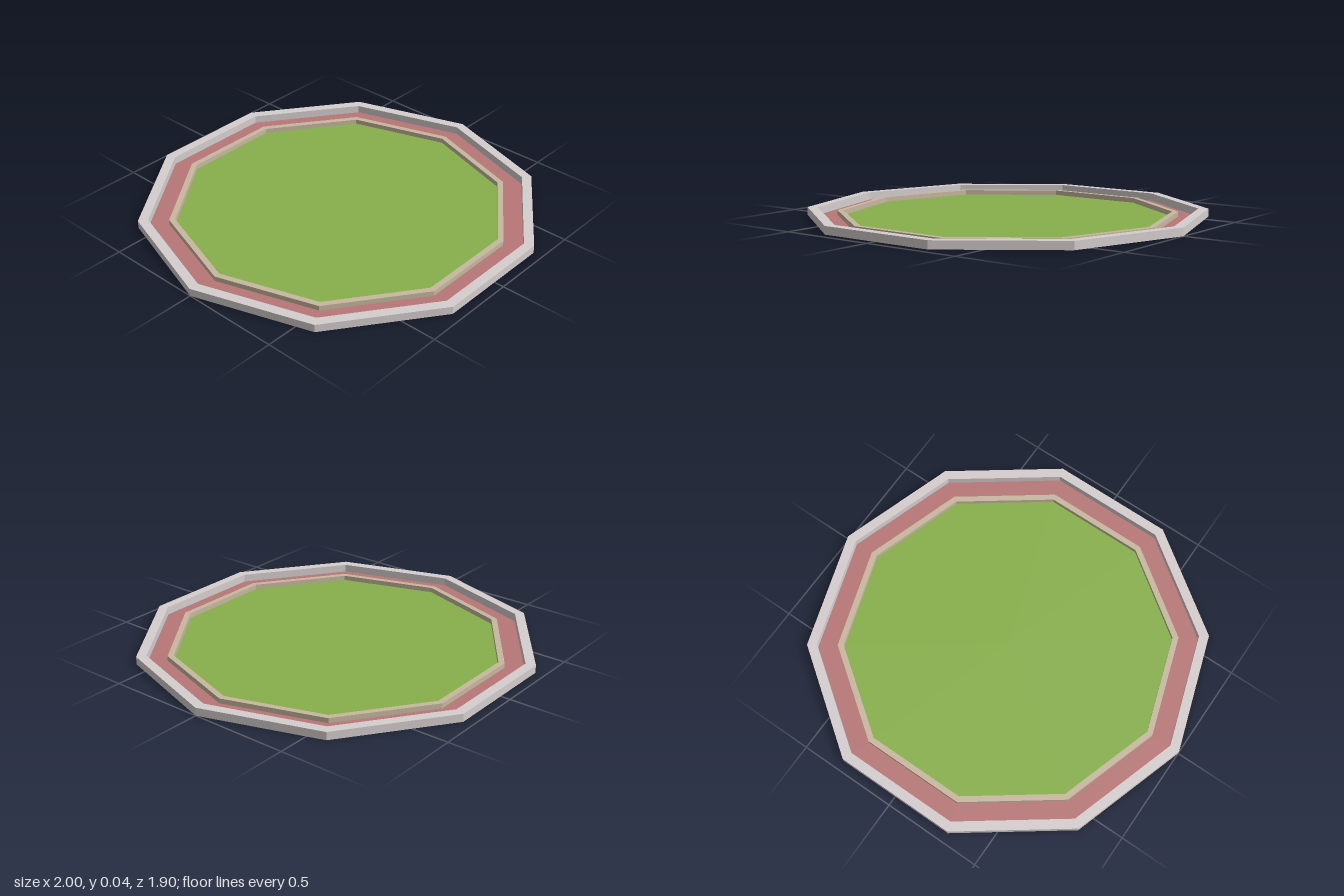
import * as THREE from 'three';

const SIDES = 10;

function material(name, color) {
  const m = new THREE.MeshStandardMaterial({ color, flatShading: true, side: THREE.DoubleSide });
  m.name = name;
  return m;
}

// Hollow ten-sided rim, open underneath, with a corner on the x axis
function rim(outer, inner, height) {
  const profile = [[outer, 0], [outer, height], [inner, height], [inner, 0]]
    .map(([r, y]) => new THREE.Vector2(r, y));
  return new THREE.LatheGeometry(profile, SIDES, Math.PI / 2);
}

export function createModel() {
  const group = new THREE.Group();
  const add = (name, geometry, mat) => {
    const mesh = new THREE.Mesh(geometry, mat);
    mesh.name = name;
    group.add(mesh);
  };

  // Raised borders
  add('outerWall', rim(1, 0.95, 0.04), material('pale grey', 0xd6cece));
  add('innerCurb', rim(0.85, 0.82, 0.025), material('sand', 0xc8b8a0));

  // Flat ground surfaces
  add('track', new THREE.RingGeometry(0.85, 0.95, SIDES).rotateX(-Math.PI / 2),
    material('dusty red', 0xb87777));
  add('lawn', new THREE.CircleGeometry(0.82, SIDES).rotateX(-Math.PI / 2),
    material('grass green', 0x88b04b));

  return group;
}
